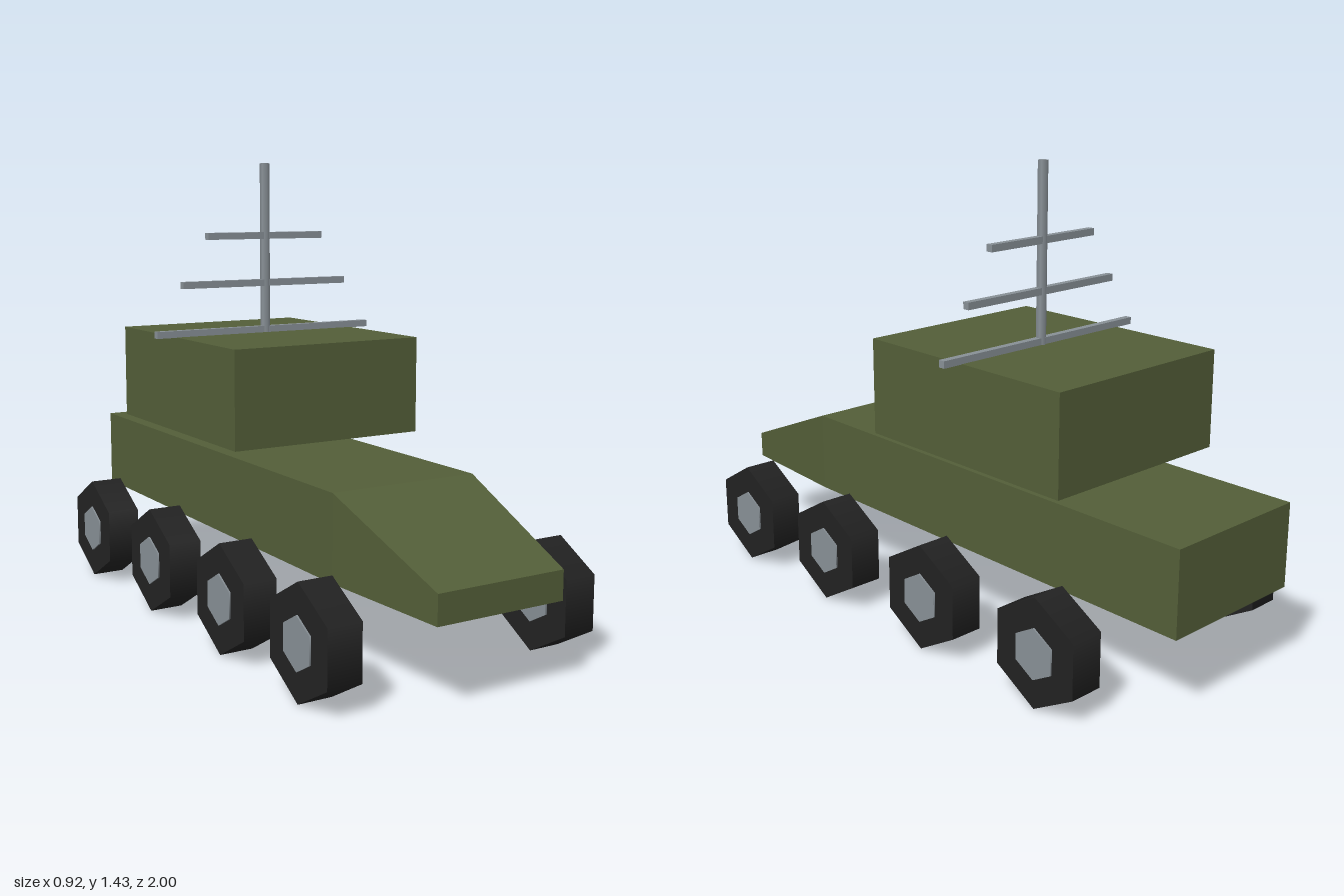
import * as THREE from 'three';

export function createModel() {
  const model = new THREE.Group();
  const mat = (name, color) => new THREE.MeshStandardMaterial({ name, color });
  const olive = mat('olive', 0x535e38);
  const rubber = mat('rubber', 0x222222);
  const steel = mat('steel', 0x889096);

  const add = (name, geometry, material, x = 0, y = 0, z = 0, parent = model) => {
    const mesh = new THREE.Mesh(geometry, material);
    mesh.name = name;
    mesh.position.set(x, y, z);
    parent.add(mesh);
    return mesh;
  };

  // Hull: a box with three sections along z, the front one narrowed and lowered into a nose
  const hull = new THREE.BoxGeometry(1, 1, 1, 1, 1, 2).toNonIndexed();
  const p = hull.attributes.position;
  for (let i = 0; i < p.count; i++) {
    const station = Math.round(p.getZ(i) * 2) + 1; // 0 rear, 1 shoulder, 2 nose
    const halfWidth = [0.245, 0.245, 0.21][station];
    const top = [0.517, 0.517, 0.34][station];
    const bottom = [0.257, 0.257, 0.253][station];
    p.setXYZ(i, Math.sign(p.getX(i)) * halfWidth, p.getY(i) > 0 ? top : bottom, [-1, 0.56, 1][station]);
  }
  hull.computeVertexNormals();
  add('hull', hull, olive);

  // Raised equipment cabin
  add('cabin', new THREE.BoxGeometry(0.664, 0.307, 0.8), olive, 0, 0.7265, -0.245);

  // Antenna mast with three crossbars
  const antenna = new THREE.Group();
  antenna.name = 'antenna';
  antenna.position.z = -0.245;
  model.add(antenna);
  add('mast', new THREE.CylinderGeometry(0.016, 0.016, 0.555, 6), steel, 0, 1.1575, 0, antenna);
  for (const [y, length] of [[0.89, 0.8], [1.045, 0.612], [1.2, 0.43]])
    add('crossbar', new THREE.BoxGeometry(length, 0.022, 0.022), steel, 0, y, 0, antenna);

  // Four hexagonal wheels per side, each with a hub showing on both faces
  const tyre = new THREE.CylinderGeometry(0.168, 0.168, 0.107, 6).rotateZ(Math.PI / 2);
  const hub = new THREE.CylinderGeometry(0.078, 0.078, 0.117, 6).rotateZ(Math.PI / 2);
  // Turn both so that a corner points straight up
  for (const g of [tyre, hub]) {
    g.computeBoundingBox();
    if (g.boundingBox.max.y < g.boundingBox.max.z) g.rotateX(Math.PI / 6);
  }
  for (const side of [-1, 1])
    for (const z of [0.72, 0.28, -0.2, -0.68]) {
      const wheel = new THREE.Group();
      wheel.name = side > 0 ? 'leftWheel' : 'rightWheel';
      wheel.position.set(side * 0.4, 0.17, z);
      add('tyre', tyre, rubber, 0, 0, 0, wheel);
      add('hub', hub, steel, 0, 0, 0, wheel);
      model.add(wheel);
    }
  return model;
}
